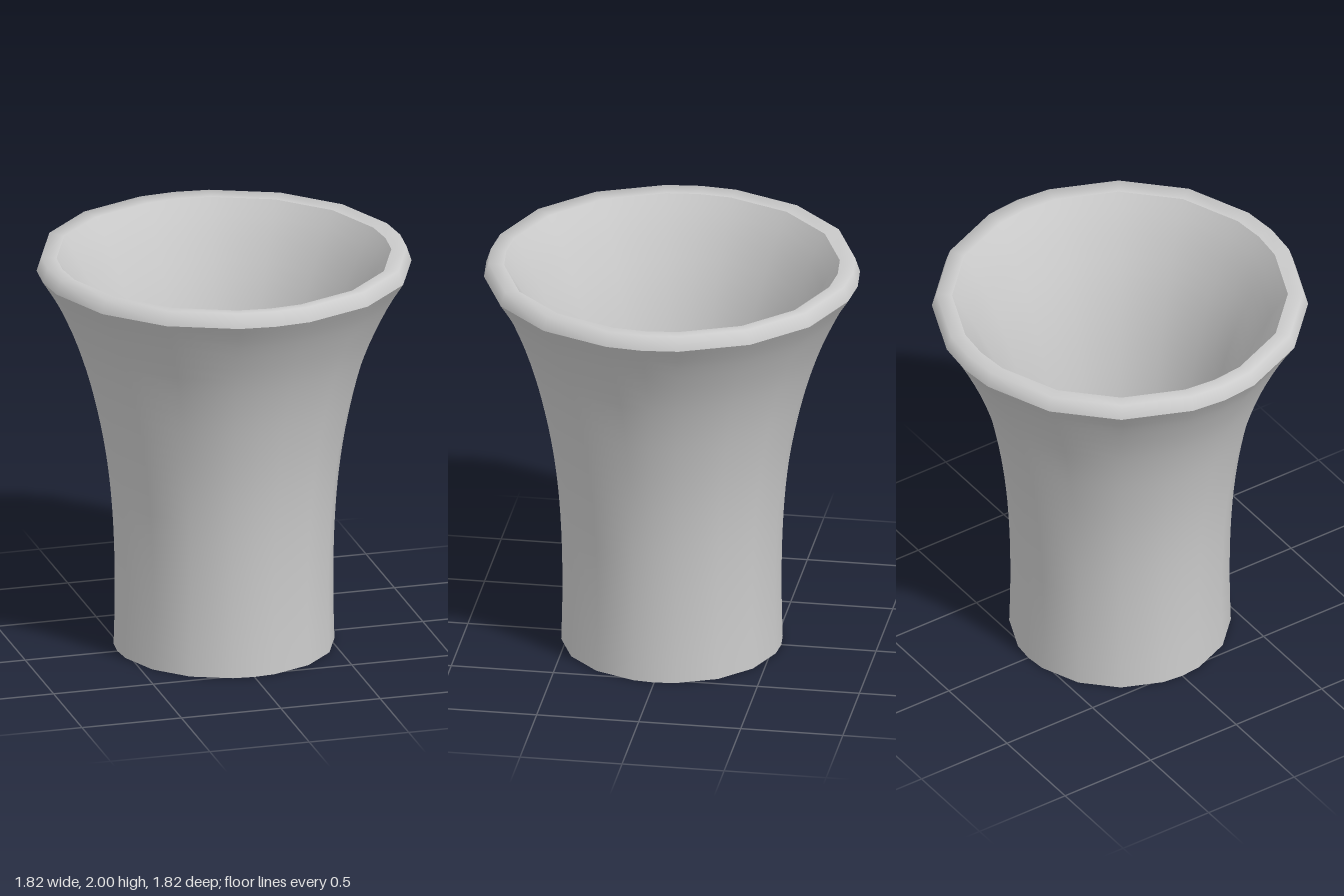
import * as THREE from 'three';

const WALL = 0.115;  // wall thickness
const FLOOR = 0.1;   // floor thickness
// Facet angles within one quarter turn (half steps at the ends)
const STEPS = [0, 11.25, 33.75, 56.25, 78.75, 90];

const material = new THREE.MeshStandardMaterial({ color: 0xcccccc });

// Lathe whose facets follow STEPS in every quarter
function revolve(name, points) {
  const geometry = new THREE.LatheGeometry(points, 20);
  const { position, normal } = geometry.attributes;
  const up = new THREE.Vector3(0, 1, 0);
  const v = new THREE.Vector3();
  for (let i = 0; i < position.count; i++) {
    const ring = Math.floor(i / points.length);
    const target = Math.floor(ring / 5) * 90 + STEPS[ring % 5];
    const turn = THREE.MathUtils.degToRad(target - ring * 18);
    for (const attribute of [position, normal]) {
      v.fromBufferAttribute(attribute, i).applyAxisAngle(up, turn);
      attribute.setXYZ(i, v.x, v.y, v.z);
    }
  }
  const mesh = new THREE.Mesh(geometry, material);
  mesh.name = name;
  return mesh;
}

export function createModel() {
  const group = new THREE.Group();
  group.name = 'flaredCup';
  const p = (r, y) => new THREE.Vector2(r, y);

  // Flared outer profile, from the base to the lip
  const curve = new THREE.SplineCurve([
    p(0.536, 0), p(0.531, 0.2), p(0.531, 0.4), p(0.537, 0.6), p(0.551, 0.8), p(0.576, 1),
    p(0.614, 1.2), p(0.665, 1.4), p(0.735, 1.6), p(0.83, 1.8), p(0.91, 1.93),
  ]);
  const outer = curve.getPoints(30);

  // Inner profile: the outer one offset by the wall thickness
  const inner = outer.map((q, i) => {
    const t = curve.getTangent(i / 30);
    return p(q.x - t.y * WALL, q.y + t.x * WALL);
  }).filter((q) => q.y > FLOOR + 0.02);
  inner.unshift(p(0.422, FLOOR));
  inner.reverse();

  group.add(
    revolve('outerWall', outer),
    revolve('roundedRim', [outer[30], p(0.887, 2), inner[0]]),
    revolve('innerWall', inner),
    revolve('floor', [p(0.422, FLOOR), p(0, FLOOR)]),
    revolve('base', [p(0, 0), outer[0]]),
  );
  return group;
}
